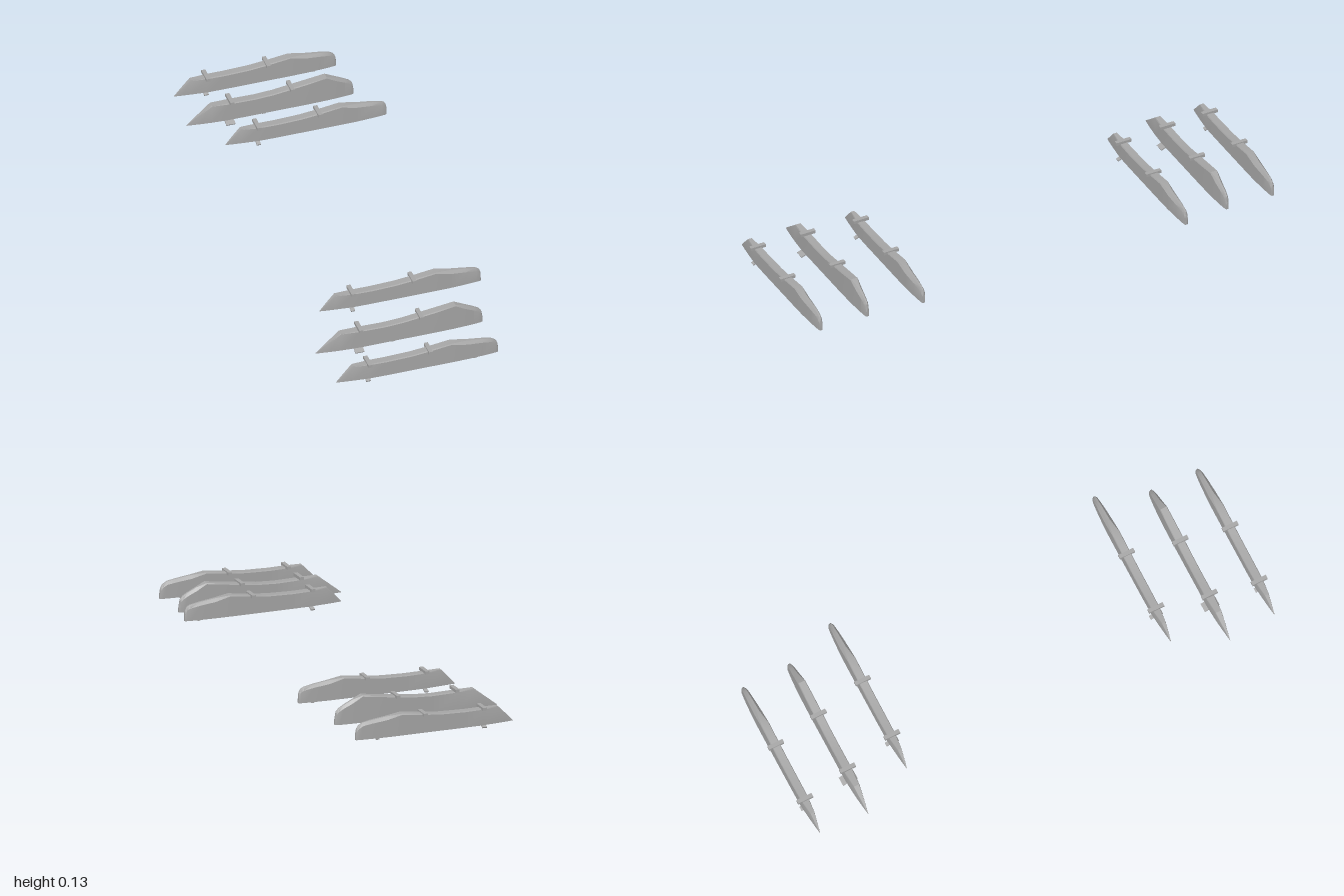
import * as THREE from 'three';
import { toCreasedNormals } from 'three/addons/utils/BufferGeometryUtils.js';

const grey = new THREE.MeshStandardMaterial({ color: 0xa6a6a6 });
grey.name = 'pylon grey';

// Each pylon: z position, bottom height, top outline as [x, y] from tail to nose,
// x of the bump, crossbars as [x, y], and lower fittings as [x, y, length, width, height]
const pylons = [
  { name: 'outerPylon', z: 0.967, base: 0.013, bump: 0.11,
    top: [[-0.35, 0.014], [-0.318, 0.047], [-0.285, 0.08], [-0.22, 0.079], [-0.15, 0.078], [-0.05, 0.081], [0.022, 0.088],
      [0.11, 0.099], [0.17, 0.093], [0.235, 0.085], [0.268, 0.079], [0.286, 0.068], [0.294, 0.055], [0.297, 0.035]],
    bars: [[-0.222, 0.081], [0.02, 0.087]],
    fittings: [[-0.226, 0.009, 0.018, 0.04, 0.01], [0.206, 0.01, 0.013, 0.01, 0.012]] },
  { name: 'middlePylon', z: 0.77, base: 0.016, bump: 0.19,
    top: [[-0.366, 0.018], [-0.315, 0.058], [-0.268, 0.095], [-0.2, 0.093], [-0.095, 0.091], [-0.02, 0.095], [0.05, 0.104],
      [0.12, 0.113], [0.19, 0.123], [0.23, 0.108], [0.265, 0.091], [0.284, 0.08], [0.295, 0.068], [0.3, 0.045]],
    bars: [[-0.192, 0.1], [0.05, 0.105]],
    fittings: [[-0.198, 0.009, 0.036, 0.06, 0.012], [-0.058, 0.011, 0.016, 0.012, 0.01], [0.178, 0.014, 0.012, 0.01, 0.01]] },
  { name: 'innerPylon', z: 0.562, base: 0.05, bump: 0.18,
    top: [[-0.28, 0.052], [-0.25, 0.084], [-0.219, 0.116], [-0.15, 0.113], [-0.075, 0.112], [0.02, 0.115], [0.09, 0.122],
      [0.18, 0.134], [0.24, 0.127], [0.3, 0.119], [0.342, 0.111], [0.355, 0.104], [0.362, 0.09], [0.363, 0.07]],
    bars: [[-0.154, 0.117], [0.09, 0.122]],
    fittings: [[-0.154, 0.044, 0.016, 0.05, 0.012], [0.305, 0.049, 0.012, 0.01, 0.008]] },
];

// Lofted blade: pointed tail, parallel middle, rounded narrow nose
function bladeGeometry({ base, bump, top }) {
  const tail = top[0][0], nose = top[top.length - 1][0], pos = [];
  const rings = top.map(([x, y]) => {
    const back = Math.min(1, (x - tail) / 0.14), front = Math.min(1, (nose - x) / 0.14);
    const w = 0.0165 * Math.min(0.03 + 0.97 * Math.pow(back, 0.85), 0.3 + 0.7 * Math.sqrt(front));
    const ridge = x > bump + 0.01 ? 0.35 : 0.85;
    const shoulder = Math.max(base, y - Math.min((y - base) * 0.4, x > bump + 0.01 ? 0.012 : 0.004));
    return [[x, base, w], [x, shoulder, w], [x, y, w * ridge], [x, y, -w * ridge], [x, shoulder, -w], [x, base, -w]];
  });
  const tri = (a, b, c) => pos.push(...a, ...b, ...c);
  for (let i = 0; i < rings.length - 1; i++) {
    for (let j = 0; j < 6; j++) {
      const k = (j + 1) % 6, a = rings[i], b = rings[i + 1];
      tri(a[j], b[j], b[k]);
      tri(a[j], b[k], a[k]);
    }
  }
  // Close the two ends
  const first = rings[0], last = rings[rings.length - 1];
  for (let j = 1; j < 5; j++) {
    tri(first[0], first[j], first[j + 1]);
    tri(last[0], last[j + 1], last[j]);
  }
  const g = new THREE.BufferGeometry();
  g.setAttribute('position', new THREE.Float32BufferAttribute(pos, 3));
  return toCreasedNormals(g, 0.5);
}

function addBox(parent, name, size, position) {
  const mesh = new THREE.Mesh(new THREE.BoxGeometry(...size), grey);
  mesh.name = name;
  mesh.position.set(...position);
  parent.add(mesh);
}

function buildPylon(spec, side) {
  const g = new THREE.Group();
  g.name = spec.name;
  g.position.z = spec.z * side;
  const blade = new THREE.Mesh(bladeGeometry(spec), grey);
  blade.name = 'blade';
  g.add(blade);
  for (const [x, y] of spec.bars) addBox(g, 'crossbar', [0.016, 0.012, 0.064], [x, y, 0]);
  for (const [x, y, l, w, h] of spec.fittings) {
    if (w < 0.03) {
      addBox(g, 'lowerLug', [l, h, w], [x, y, 0]);
      continue;
    }
    // Thin splayed braces under the tail
    for (const s of [-1, 1]) {
      const brace = new THREE.Mesh(new THREE.BoxGeometry(l, 0.005, w / 2), grey);
      brace.name = 'swayBrace';
      brace.position.set(x, y, s * w * 0.28);
      brace.rotation.x = s * 0.4;
      g.add(brace);
    }
  }
  return g;
}

export function createModel() {
  const model = new THREE.Group();
  model.name = 'pylonSet';
  for (const side of [-1, 1]) for (const spec of pylons) model.add(buildPylon(spec, side));
  return model;
}
